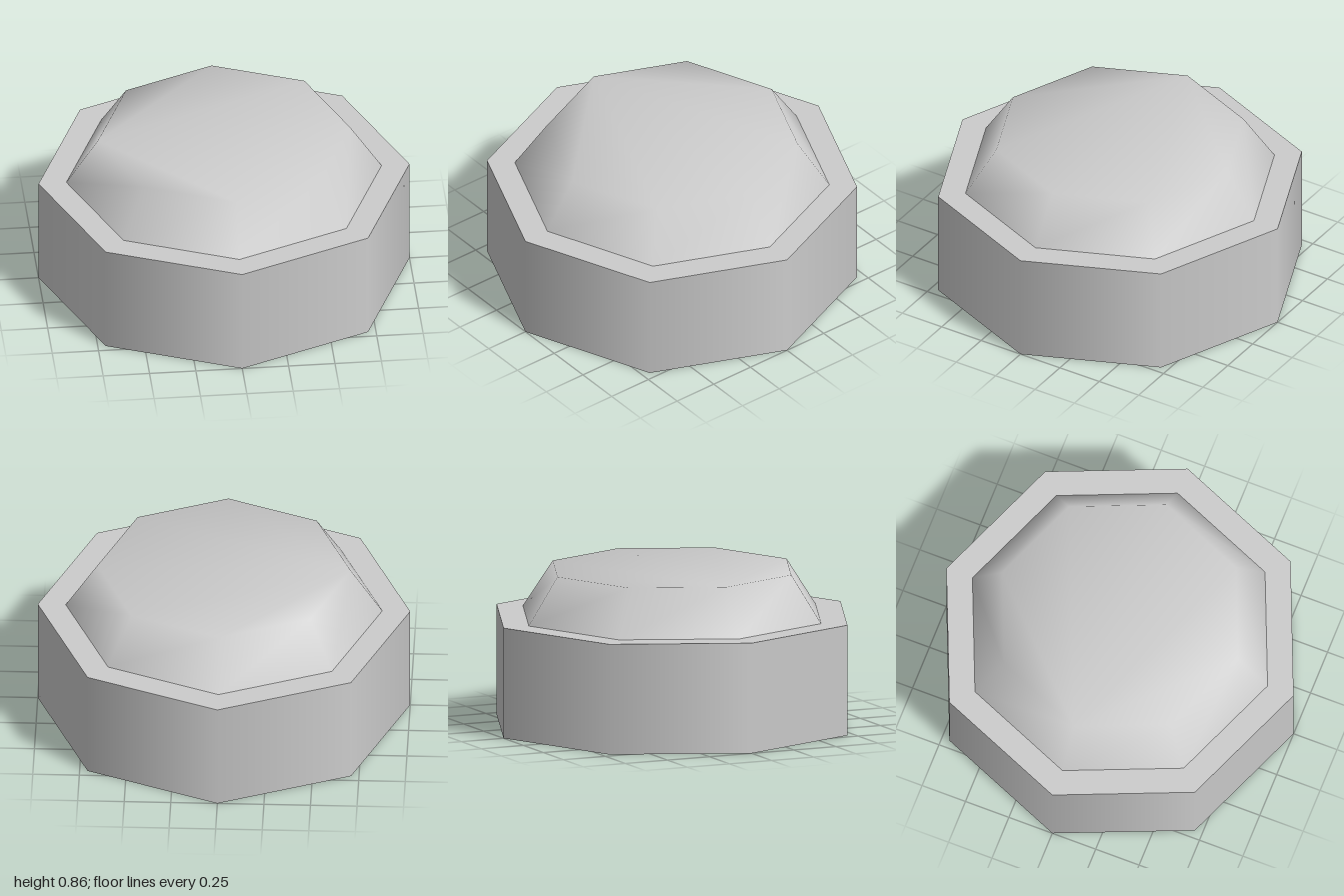
import * as THREE from 'three';

const SIDES = 8;

export function createModel() {
  const model = new THREE.Group();
  const grey = new THREE.MeshStandardMaterial({ color: 0xcccccc, side: THREE.DoubleSide });
  grey.name = 'light grey';

  const add = (name, geometry, y = 0) => {
    const mesh = new THREE.Mesh(geometry, grey);
    mesh.name = name;
    mesh.position.y = y;
    model.add(mesh);
    return mesh;
  };

  // Hollow base: a thin outer wall between two flat rims
  add('baseWall', new THREE.CylinderGeometry(1, 1, 0.6, SIDES, 1, true), 0.3);
  add('topRim', new THREE.RingGeometry(0.75, 1, SIDES).rotateX(-Math.PI / 2), 0.6);
  add('bottomRim', new THREE.RingGeometry(0.75, 1, SIDES).rotateX(Math.PI / 2), 0);

  // Cap: sloped wall and flat top share their corners, so the shading runs smoothly over the edge
  const positions = [];
  const index = [];
  for (const [radius, y] of [[0.85, 0.6], [0.68, 0.855]]) {
    for (let i = 0; i < SIDES; i++) {
      const a = (i / SIDES) * Math.PI * 2 - Math.PI / 2; // first corner at -x
      positions.push(Math.sin(a) * radius, y, Math.cos(a) * radius);
    }
  }
  for (let i = 0; i < SIDES; i++) {
    const j = (i + 1) % SIDES;
    index.push(i, j, SIDES + j, i, SIDES + j, SIDES + i);
    if (i > 0 && i < SIDES - 1) index.push(SIDES, SIDES + i, SIDES + j);
  }
  const cap = new THREE.BufferGeometry();
  cap.setAttribute('position', new THREE.Float32BufferAttribute(positions, 3));
  cap.setIndex(index);
  cap.computeVertexNormals();
  add('domedCap', cap);

  return model;
}
